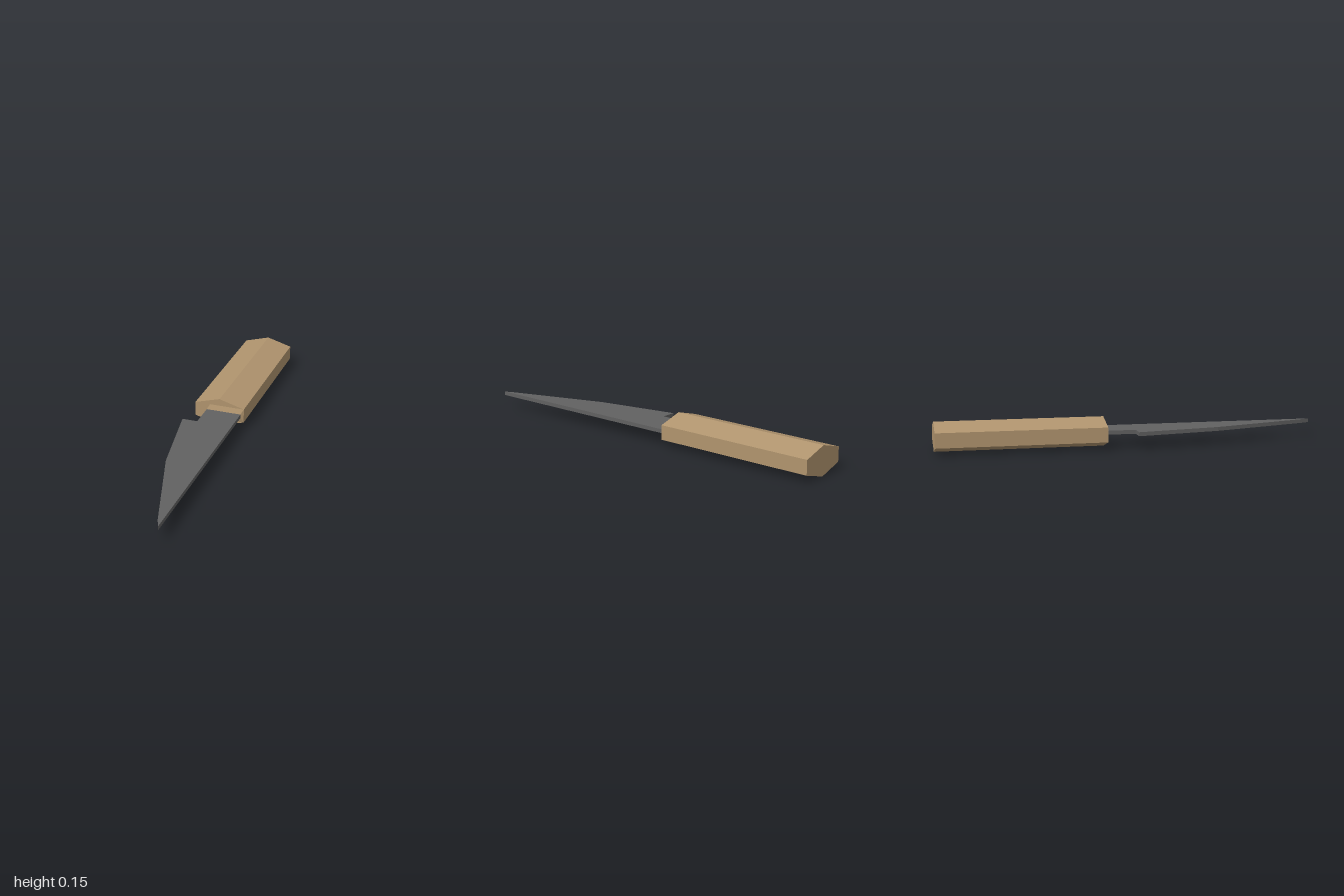
import * as THREE from 'three';

const wood = new THREE.MeshStandardMaterial({ color: 0xb0946e });
wood.name = 'wood';
const steel = new THREE.MeshStandardMaterial({ color: 0x616161 });
steel.name = 'steel';

function extrude(points, depth) {
  const shape = new THREE.Shape(points.map(([x, y]) => new THREE.Vector2(x, y)));
  return new THREE.ExtrudeGeometry(shape, { depth, bevelEnabled: false });
}

function part(name, geometry, material) {
  const mesh = new THREE.Mesh(geometry, material);
  mesh.name = name;
  return mesh;
}

export function createModel() {
  const knife = new THREE.Group();
  knife.name = 'knife';
  const handleFront = -0.147, bladeBack = -0.138;
  const bladeLow = 0.066, bladeHigh = 0.086;

  // Six-sided handle, running along z
  const handle = extrude([
    [0.007, 0], [0.14, 0.038], [0.14, 0.113],
    [0.007, 0.151], [-0.126, 0.113], [-0.126, 0.038],
  ], handleFront + 1);
  handle.translate(0, 0, -1);
  knife.add(part('handle', handle, wood));

  // Collar: shallow flare from the blade's root to the handle's end face
  const collar = new THREE.BoxGeometry(1, 1, 1);
  const pos = collar.attributes.position;
  for (let i = 0; i < pos.count; i++) {
    const front = pos.getZ(i) > 0, left = pos.getX(i) > 0, top = pos.getY(i) > 0;
    if (front) pos.setXYZ(i, left ? 0.125 : -0.06, top ? bladeHigh : bladeLow, bladeBack);
    else pos.setXYZ(i, left ? 0.14 : -0.045, top ? 0.113 : 0.038, handleFront);
  }
  collar.computeVertexNormals();
  knife.add(part('collar', collar, wood));

  // Flat blade, outlined in x and z
  const blade = extrude([
    [0.125, bladeBack], [0.125, 1], [0.102, 0.945], [-0.06, 0.44],
    [-0.14, 0.007], [-0.06, 0.007], [-0.06, bladeBack],
  ], bladeHigh - bladeLow);
  blade.rotateX(Math.PI / 2);
  blade.translate(0, bladeHigh, 0);
  knife.add(part('blade', blade, steel));

  return knife;
}
